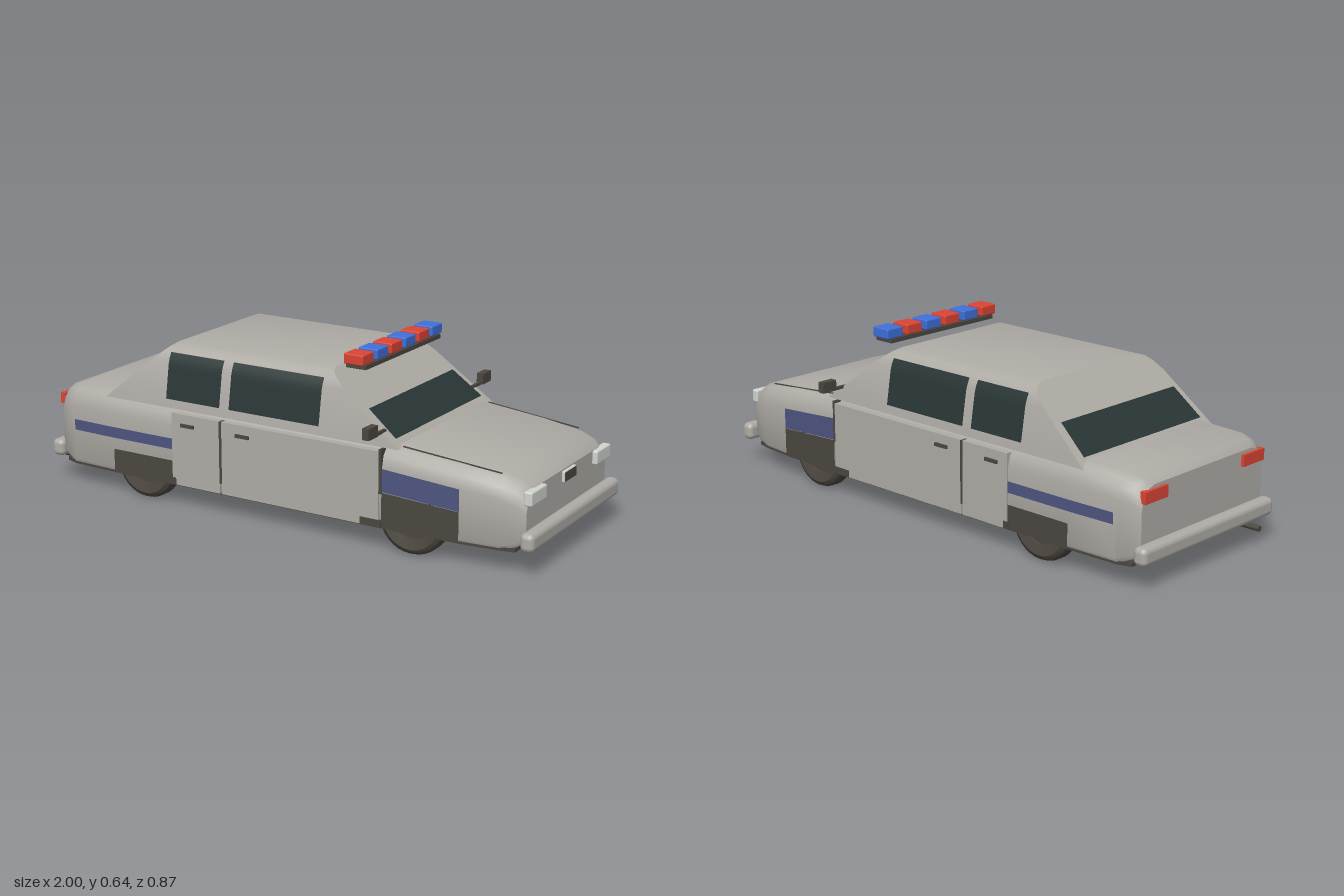
import * as THREE from 'three';
import { toCreasedNormals } from 'three/addons/utils/BufferGeometryUtils.js';
import { RoundedBoxGeometry } from 'three/addons/geometries/RoundedBoxGeometry.js';

const material = (name, color) => {
  const m = new THREE.MeshStandardMaterial({ color });
  m.name = name;
  return m;
};

// Closed skin through rings of equal point count (anticlockwise seen from the last ring)
function loft(rings) {
  const n = rings[0].length, last = (rings.length - 1) * n, index = [];
  for (let i = 0; i < rings.length - 1; i++) {
    for (let j = 0; j < n; j++) {
      const a = i * n + j, b = i * n + (j + 1) % n;
      index.push(a, b, b + n, a, b + n, a + n);
    }
  }
  for (let j = 1; j < n - 1; j++) index.push(0, j + 1, j, last, last + j, last + j + 1);
  const g = new THREE.BufferGeometry();
  g.setAttribute('position', new THREE.Float32BufferAttribute(rings.flat(2), 3));
  g.setIndex(index);
  return toCreasedNormals(g, 0.6);
}

// Linear interpolation in a table of [key, value, ...]
function lookup(table, k) {
  let i = 0;
  while (i < table.length - 2 && k > table[i + 1][0]) i++;
  const [a, b] = [table[i], table[i + 1]];
  return a[1] + (b[1] - a[1]) * (k - a[0]) / (b[0] - a[0]);
}

// Body stations: x, half width, bottom, top
const STATIONS = [
  [-0.945, 0.32, 0.11, 0.34], [-0.92, 0.337, 0.1, 0.36], [-0.87, 0.354, 0.08, 0.37],
  [-0.68, 0.36, 0.08, 0.375], [0.45, 0.36, 0.08, 0.367], [0.73, 0.35, 0.08, 0.342],
  [0.87, 0.337, 0.08, 0.325], [0.925, 0.325, 0.092, 0.308], [0.957, 0.31, 0.11, 0.285],
];
// Cabin levels: y, half width
const LEVELS = [[0.355, 0.342], [0.38, 0.338], [0.52, 0.315], [0.55, 0.3], [0.568, 0.28], [0.578, 0.25]];
const frontX = y => 0.465 - (y - 0.38) * 1.33;
const rearX = y => -0.69 + (y - 0.38) * 1.2;

export function createModel() {
  const car = new THREE.Group();
  car.name = 'patrolCar';
  const paint = material('grey paint', 0xaeaba5);
  const dark = material('dark trim', 0x4b463f);
  const glass = material('tinted glass', 0x293535);
  const stripe = material('stripe blue', 0x4d5580);
  const red = material('light red', 0xd94434);
  const blue = material('light blue', 0x3f6fd8);
  const lamp = material('headlight white', 0xd2d4ce);

  const add = (name, geometry, mat, x = 0, y = 0, z = 0) => {
    const mesh = new THREE.Mesh(geometry, mat);
    mesh.name = name;
    mesh.position.set(x, y, z);
    car.add(mesh);
    return mesh;
  };
  const box = (name, mat, [x0, x1], [y0, y1], [z0, z1]) =>
    add(name, new THREE.BoxGeometry(x1 - x0, y1 - y0, z1 - z0), mat, (x0 + x1) / 2, (y0 + y1) / 2, (z0 + z1) / 2);
  const rounded = (name, mat, [x0, x1], [y0, y1], [z0, z1], r) =>
    add(name, new RoundedBoxGeometry(x1 - x0, y1 - y0, z1 - z0, 3, r), mat, (x0 + x1) / 2, (y0 + y1) / 2, (z0 + z1) / 2);
  const sideBox = (name, mat, xs, ys, [z0, z1]) => {
    box(name + 'Left', mat, xs, ys, [z0, z1]);
    box(name + 'Right', mat, xs, ys, [-z1, -z0]);
  };

  // Lower body
  add('body', loft(STATIONS.map(([x, w, yb, yt]) => {
    const half = [[yt, w - 0.06], [yt - 0.012, w - 0.03], [yt - 0.035, w - 0.01], [yt - 0.075, w], [yb + 0.015, w], [yb, w - 0.008]];
    return [...half.map(([y, z]) => [x, y, z]), ...half.reverse().map(([y, z]) => [x, y, -z])];
  })), paint);

  // Dark underside
  const floorRing = y => {
    const edge = STATIONS.slice(1, -1).map(([x, w]) => [x, y, w - 0.006]);
    return [...edge, ...edge.map(([x, , z]) => [x, y, -z]).reverse()];
  };
  add('underside', loft([floorRing(0.075), floorRing(0.088)]), dark);

  // Cabin and roof
  add('cabin', loft(LEVELS.map(([y, w]) => [
    [rearX(y), y, w], [frontX(y), y, w], [frontX(y), y, -w], [rearX(y), y, -w],
  ])), paint);

  // Thin skin whose vertices are placed by a rule of u and v
  const skin = (name, mat, rule) => {
    const g = new THREE.PlaneGeometry(1, 1, 8, 8), p = g.attributes.position;
    for (let i = 0; i < p.count; i++) p.setXYZ(i, ...rule(p.getX(i) + 0.5, p.getY(i) + 0.5));
    g.computeVertexNormals();
    add(name, g, mat);
  };
  // Pair of side skins following the body or the cabin
  const sideSkin = (name, mat, [x0, x1], bottom, top, depth) => {
    for (const s of [1, -1]) {
      skin(name + (s > 0 ? 'Left' : 'Right'), mat, (u, v) => {
        const t = s > 0 ? u : 1 - u;
        const x = x0 + (x1 - x0) * t;
        const b = bottom[0] + (bottom[1] - bottom[0]) * t;
        const y = b + (top[0] + (top[1] - top[0]) * t - b) * v;
        return [x, y, s * depth(x, y)];
      });
    }
  };
  const onBody = x => lookup(STATIONS, x) + 0.003;
  const onCabin = (x, y) => lookup(LEVELS, y) + 0.004;

  // Windows
  sideSkin('rearSideWindow', glass, [-0.45, -0.22], [0.387, 0.387], [0.55, 0.55], onCabin);
  sideSkin('frontSideWindow', glass, [-0.18, 0.19], [0.387, 0.387], [0.55, 0.55], onCabin);
  skin('windscreen', glass, (u, v) => {
    const y = 0.378 + 0.084 * v;
    return [frontX(y) + 0.004, y + 0.003, (0.5 - u) * (0.615 - 0.025 * v)];
  });
  skin('rearWindow', glass, (u, v) => {
    const y = 0.38 + 0.092 * v;
    return [rearX(y) - 0.004, y + 0.003, (u - 0.5) * (0.615 - 0.025 * v)];
  });

  // Painted stripes and dark lower panels
  sideSkin('rearStripe', stripe, [-0.86, -0.41], [0.21, 0.21], [0.25, 0.25], onBody);
  sideSkin('frontStripe', stripe, [0.45, 0.735], [0.207, 0.188], [0.288, 0.265], onBody);
  sideSkin('rearLowerPanel', dark, [-0.675, -0.41], [0.082, 0.082], [0.168, 0.168], onBody);
  sideSkin('frontLowerPanel', dark, [0.45, 0.735], [0.082, 0.082], [0.205, 0.187], onBody);

  // Doors, seams and handles
  sideBox('rearDoor', paint, [-0.41, -0.204], [0.082, 0.347], [0.335, 0.366]);
  sideBox('frontDoor', paint, [-0.196, 0.44], [0.082, 0.347], [0.335, 0.366]);
  sideBox('doorSeam', dark, [-0.205, -0.195], [0.12, 0.347], [0.335, 0.367]);
  sideBox('frontDoorSeam', dark, [0.44, 0.45], [0.2, 0.355], [0.335, 0.366]);
  sideBox('sillTrim', dark, [0.37, 0.45], [0.082, 0.108], [0.35, 0.368]);
  sideBox('rearSillTrim', dark, [-0.415, -0.395], [0.082, 0.108], [0.35, 0.368]);
  for (const x of [-0.34, -0.105]) sideBox('doorHandle', dark, [x - 0.028, x + 0.028], [0.302, 0.314], [0.36, 0.373]);

  // Wheels
  const tyre = [[0.07, -0.03], [0.105, -0.038], [0.12, -0.03], [0.126, -0.015], [0.126, 0.015],
    [0.12, 0.03], [0.105, 0.038], [0.07, 0.03], [0.07, -0.03]].map(p => new THREE.Vector2(...p));
  for (const x of [-0.545, 0.555]) {
    for (const z of [-0.318, 0.318]) {
      const name = (x > 0 ? 'front' : 'rear') + (z > 0 ? 'Left' : 'Right');
      const tire = add(name + 'Tyre', toCreasedNormals(new THREE.LatheGeometry(tyre, 32), 0.7), dark, x, 0.126, z);
      const hub = add(name + 'Hub', new THREE.CylinderGeometry(0.072, 0.072, 0.04, 24), dark, x, 0.126, z);
      tire.rotation.x = hub.rotation.x = Math.PI / 2;
    }
  }

  // Bumpers
  rounded('frontBumper', paint, [0.95, 1.0], [0.09, 0.155], [-0.35, 0.35], 0.02);
  rounded('rearBumper', paint, [-0.985, -0.932], [0.088, 0.152], [-0.35, 0.35], 0.02);

  // Front and rear lights, grille plate
  for (const s of [-1, 1]) {
    const side = s > 0 ? 'Left' : 'Right';
    rounded('headlight' + side, lamp, [0.945, 0.975], [0.235, 0.284], [s * 0.255 - 0.057, s * 0.255 + 0.057], 0.006);
    box('tailLight' + side, red, [-0.957, -0.935], [0.287, 0.328], [s * 0.26 - 0.057, s * 0.26 + 0.057]);
  }
  rounded('grilleFrame', lamp, [0.945, 0.966], [0.24, 0.28], [-0.047, 0.047], 0.005);
  box('grillePlate', dark, [0.95, 0.968], [0.244, 0.276], [-0.043, 0.043]);

  // Hood seams
  for (const s of [-1, 1]) {
    const seam = box('hoodSeam', dark, [0.5, 0.86], [0.341, 0.345], [s * 0.302 - 0.002, s * 0.302 + 0.002]);
    seam.rotation.set(0, s * 0.04, -0.095);
  }

  // Exhaust pipe
  const pipe = add('exhaustPipe', new THREE.CylinderGeometry(0.01, 0.01, 0.1, 16), dark, -0.95, 0.068, 0.248);
  pipe.rotation.z = Math.PI / 2;

  // Mirrors
  sideBox('mirrorArm', dark, [0.424, 0.436], [0.4, 0.41], [0.31, 0.375]);
  sideBox('mirror', dark, [0.417, 0.443], [0.402, 0.441], [0.375, 0.436]);

  // Roof light bar
  box('lightBarBase', dark, [0.248, 0.326], [0.584, 0.599], [-0.26, 0.26]);
  for (let i = 0; i < 6; i++) {
    const z = 0.24 - i * 0.096;
    rounded(i % 2 ? 'blueBeacon' : 'redBeacon', i % 2 ? blue : red, [0.248, 0.324], [0.6, 0.637], [z - 0.037, z + 0.037], 0.005);
  }
  return car;
}
